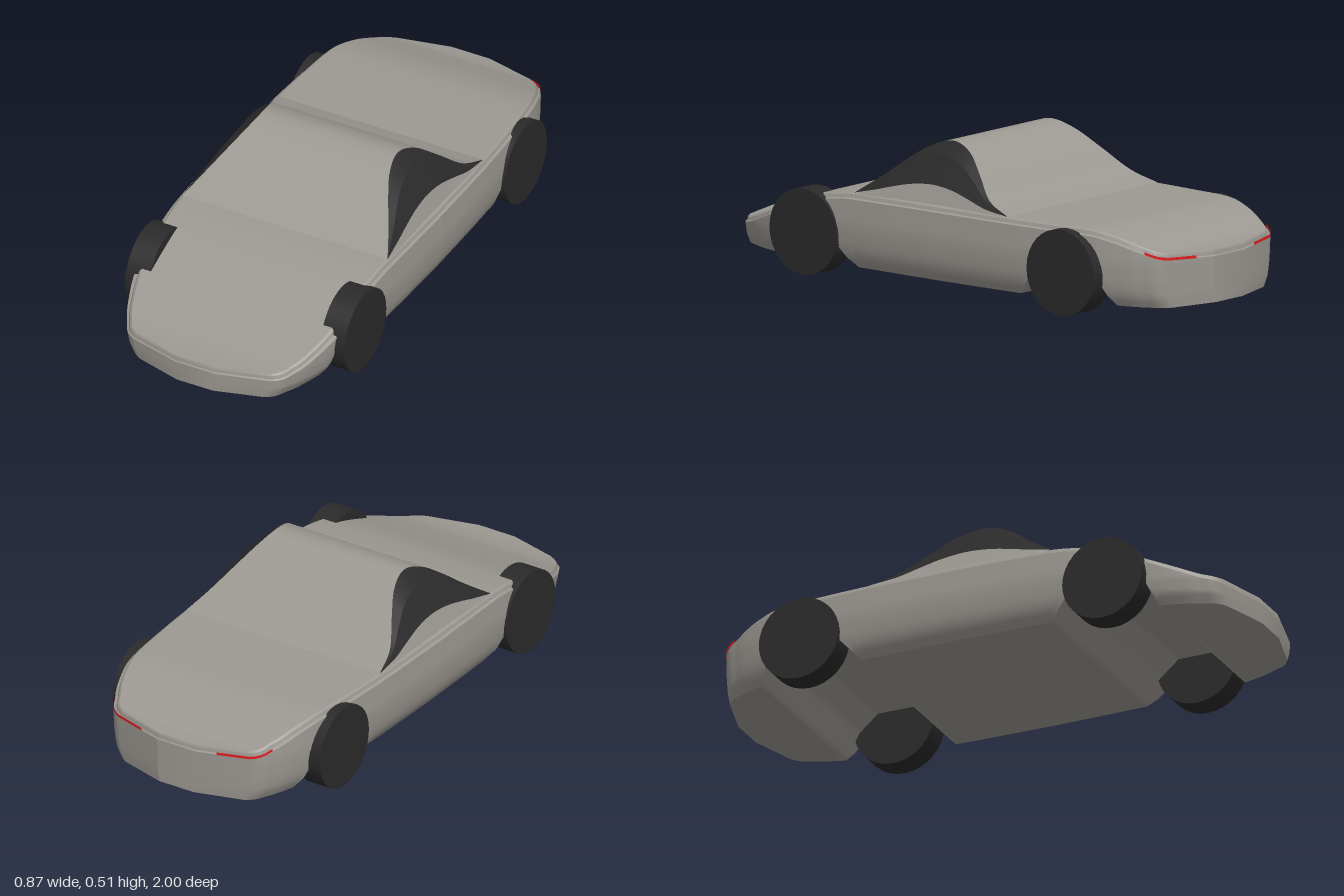
import * as THREE from 'three';

const paint = new THREE.MeshStandardMaterial({ color: 0x9c9892 });
paint.name = 'greyPaint';
const dark = new THREE.MeshStandardMaterial({ color: 0x2a2a2a });
dark.name = 'darkGlassAndRubber';
const red = new THREE.MeshStandardMaterial({ color: 0xe02020, side: THREE.DoubleSide });
red.name = 'redLight';

// Smooth or straight interpolation through [key, value] points
function interp(pts, k, smooth = true) {
  let i = 0;
  while (i < pts.length - 2 && k > pts[i + 1][0]) i++;
  const [a, b] = [pts[i], pts[i + 1]];
  const h = b[0] - a[0];
  const t = Math.min(1, Math.max(0, (k - a[0]) / h));
  if (!smooth) return a[1] + (b[1] - a[1]) * t;
  const slope = (p, q) => (q[1] - p[1]) / (q[0] - p[0]);
  const m0 = i > 0 ? slope(pts[i - 1], b) : slope(a, b);
  const m1 = i < pts.length - 2 ? slope(a, pts[i + 2]) : slope(a, b);
  const t2 = t * t, t3 = t2 * t;
  return (2 * t3 - 3 * t2 + 1) * a[1] + (t3 - 2 * t2 + t) * h * m0
    + (3 * t2 - 2 * t3) * b[1] + (t3 - t2) * h * m1;
}

// Surface through rows of [x, y, z] points, facing (row step) x (column step)
function loft(name, rows, material) {
  const n = rows[0].length, index = [];
  for (let i = 0; i < rows.length - 1; i++) {
    for (let j = 0; j < n - 1; j++) {
      const a = i * n + j, b = a + 1, c = a + n, d = c + 1;
      index.push(a, c, b, b, c, d);
    }
  }
  const geo = new THREE.BufferGeometry();
  geo.setAttribute('position', new THREE.Float32BufferAttribute(rows.flat(2), 3));
  geo.setIndex(index);
  geo.computeVertexNormals();
  const mesh = new THREE.Mesh(geo, material);
  mesh.name = name;
  return mesh;
}

const flip = ([x, y, z]) => [-x, y, z];
const mirrorRows = rows => rows.map(r => r.map(flip).reverse());

// Plan half width, deck height, underside with wheel arches, canopy height
const PLAN = [[0, 0.435], [0.3, 0.43], [0.5, 0.42], [0.7, 0.4], [0.8, 0.373], [0.88, 0.337], [0.95, 0.275], [1, 0.08]];
const DECK = [[-1, 0.23], [-0.95, 0.237], [-0.88, 0.262], [-0.8, 0.29], [-0.7, 0.31], [-0.55, 0.312],
  [0.35, 0.312], [0.5, 0.293], [0.6, 0.262], [0.75, 0.203], [0.88, 0.155], [0.95, 0.142], [1, 0.14]];
const UNDER = [[-1, 0.045], [-0.78, 0.045], [-0.73, 0.14], [-0.66, 0.2], [-0.52, 0.2], [-0.45, 0.12], [-0.38, 0.045],
  [0.35, 0.045], [0.42, 0.12], [0.49, 0.18], [0.63, 0.18], [0.7, 0.14], [0.74, 0.045], [1, 0.045]];
const CANOPY = [[-0.34, 0.312], [-0.235, 0.352], [-0.155, 0.42], [-0.07, 0.487], [0.02, 0.515],
  [0.11, 0.49], [0.19, 0.435], [0.25, 0.385], [0.35, 0.312]];
// Side bulge as a factor of half width, by height
const BULGE = [[0.045, 0.89], [0.08, 0.955], [0.13, 0.985], [0.2, 1], [0.3, 0.985]];

const halfWidth = z => interp(PLAN, Math.abs(z));
const deckY = z => interp(DECK, z);

function buildBody() {
  const body = new THREE.Group();
  body.name = 'body';
  const stations = [-1];
  for (let i = -95; i <= 95; i++) stations.push(i / 100);
  stations.push(1);

  // Closed ring around the car from a rule giving the +x side
  const ring = rule => {
    const right = stations.map(rule);
    return [...right, ...right.map(flip).reverse(), right[0]];
  };
  const sidePoint = u => z => {
    const y = THREE.MathUtils.lerp(interp(UNDER, z, false), deckY(z) - 0.022, u);
    return [halfWidth(z) * interp(BULGE, y, false), y, z];
  };
  const sideRings = [];
  for (let i = 0; i <= 10; i++) sideRings.push(ring(sidePoint(i / 10)));
  body.add(loft('sidePanels', sideRings, paint));

  // Stepped shoulder between the sides and the deck
  const shoulder = (k, drop, kz) => z => [halfWidth(z) * k, deckY(z) - drop, z * kz];
  const steps = [ring(sidePoint(1)), ring(shoulder(0.965, 0.018, 0.997)),
    ring(shoulder(0.955, 0.006, 0.995)), ring(shoulder(0.935, 0, 0.993))];
  for (let i = 0; i < 3; i++) body.add(loft('shoulder', [steps[i], steps[i + 1]], paint));

  // Deck across the top and floor across the bottom
  const deckEdge = stations.map(shoulder(0.935, 0, 0.993));
  body.add(loft('deck', deckEdge.map(p => [flip(p), p]), paint));
  const floorEdge = stations.map(sidePoint(0));
  body.add(loft('floor', floorEdge.map(p => [p, flip(p)]), paint));
  return body;
}

function buildCanopy() {
  const canopy = new THREE.Group();
  canopy.name = 'canopy';
  const roofEdge = [], kink = [], sill = [], base = [];
  for (let i = 0; i <= 48; i++) {
    const z = -0.34 + 0.69 * i / 48;
    const y = interp(CANOPY, z);
    const f = Math.max(0, (y - 0.312) / 0.203);
    const x = 0.405 - 0.14 * f;
    roofEdge.push([x, y, z]);
    kink.push([x + 0.055 * f, y - 0.043 * f, z]);
    sill.push([0.405 - 0.022 * f, 0.312 + 0.066 * f, z]);
    base.push([0.408, 0.309, z]);
  }
  canopy.add(loft('roofAndScreens', roofEdge.map(p => [flip(p), p]), paint));
  const sides = [['windowUpper', [kink, roofEdge], dark], ['windowLower', [sill, kink], dark],
    ['windowSill', [base, sill], paint]];
  for (const [name, rows, mat] of sides) {
    canopy.add(loft(name, rows, mat), loft(name, mirrorRows(rows), mat));
  }
  return canopy;
}

// Thin strips wrapped round the rear corners
function buildTailLights() {
  const lights = new THREE.Group();
  lights.name = 'tailLights';
  const strip = drop => [-0.98, -0.95, -0.94, -0.93, -0.92, -0.91, -0.9, -0.89].map(z => {
    const x = z < -0.95 ? 0.156 : halfWidth(z);
    return [x * 0.985 + 0.002, deckY(z) - drop, z - 0.003];
  });
  const rows = [strip(0.022), strip(0.012)];
  lights.add(loft('tailLight', rows, red), loft('tailLight', mirrorRows(rows), red));
  return lights;
}

export function createModel() {
  const model = new THREE.Group();
  model.name = 'car';
  model.add(buildBody(), buildCanopy(), buildTailLights());

  // Wheels
  const wheelGeo = new THREE.CylinderGeometry(0.152, 0.152, 0.092, 32).rotateZ(Math.PI / 2);
  for (const [name, z] of [['frontWheel', 0.56], ['rearWheel', -0.6]]) {
    for (const s of [-1, 1]) {
      const wheel = new THREE.Mesh(wheelGeo, dark);
      wheel.name = name;
      wheel.position.set(s * 0.386, 0.152, z);
      model.add(wheel);
    }
  }
  return model;
}
